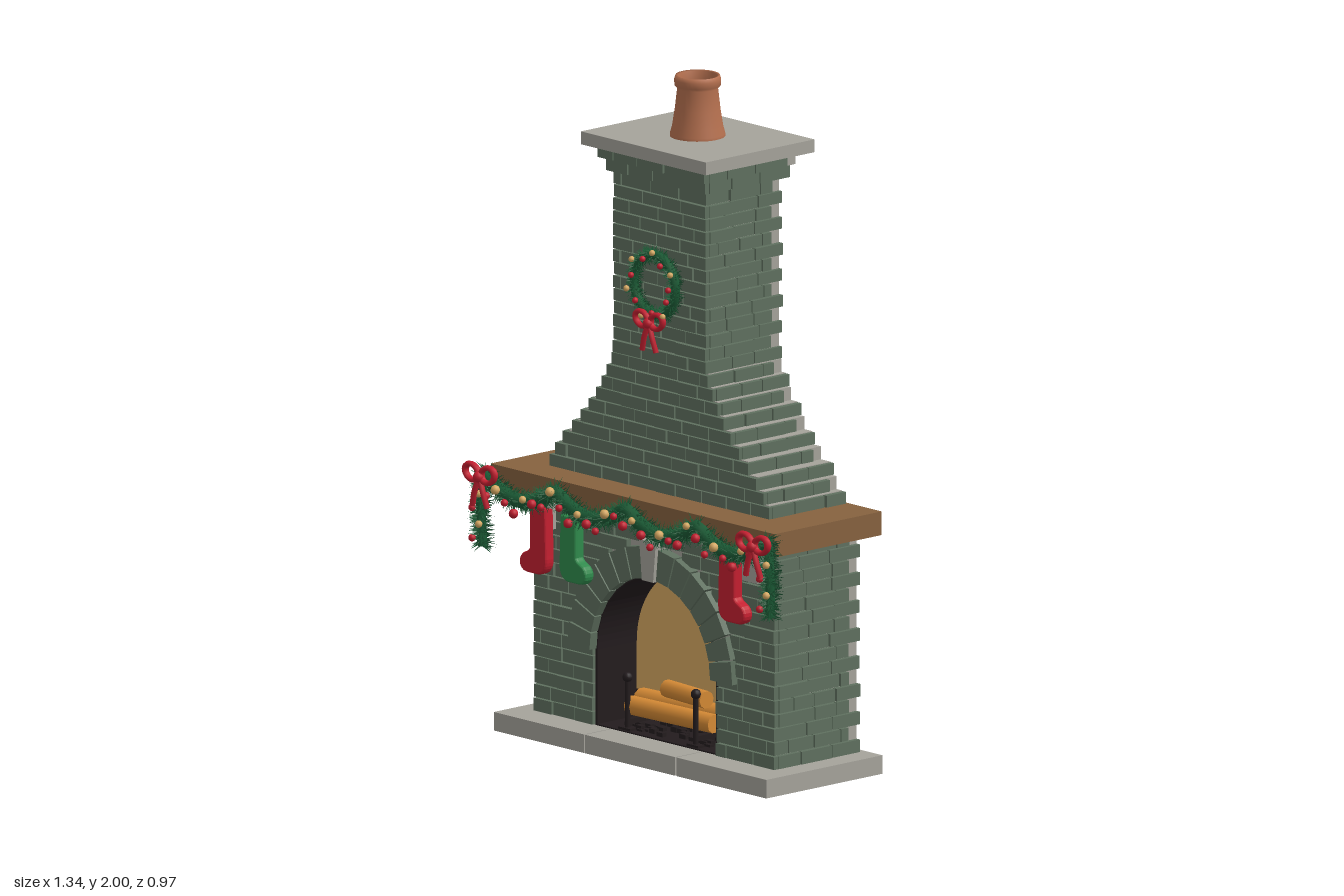
import * as THREE from 'three';
import { mergeGeometries } from 'three/addons/utils/BufferGeometryUtils.js';

const V = (x, y, z) => new THREE.Vector3(x, y, z);
const mat = (name, color, side = THREE.FrontSide) => {
  const m = new THREE.MeshStandardMaterial({ color, side });
  m.name = name;
  return m;
};

export function createModel() {
  let seed = 7;
  const rnd = () => (seed = (seed * 16807) % 2147483647) / 2147483647;

  const M = {
    stone: mat('stone grey', 0xa5a39b), brick: mat('green brick', 0x5f705f),
    wood: mat('mantel wood', 0x86623f), clay: mat('terracotta', 0xb5704f, THREE.DoubleSide),
    gold: mat('warm gold', 0xd6a862), black: mat('soot black', 0x231c1e),
    log: mat('glowing log', 0xd58a35), red: mat('festive red', 0xc41f30),
    pine: mat('pine green', 0x1b5a35), green: mat('stocking green', 0x2f8a4c),
  };
  const root = new THREE.Group();
  const house = new THREE.Group();
  house.name = 'fireplace';
  house.position.set(0.055, 0, -0.0775);
  house.rotation.y = THREE.MathUtils.degToRad(-24);
  root.add(house);

  const add = (name, geo, m, parent = house) => {
    const mesh = new THREE.Mesh(Array.isArray(geo) ? mergeGeometries(geo) : geo, m);
    mesh.name = name;
    parent.add(mesh);
    return mesh;
  };
  // box given by its limits
  const box = (x0, x1, y0, y1, z0, z1) =>
    new THREE.BoxGeometry(x1 - x0, y1 - y0, z1 - z0).translate((x0 + x1) / 2, (y0 + y1) / 2, (z0 + z1) / 2);
  const ball = (r, x, y, z) => new THREE.SphereGeometry(r, 12, 8).translate(x, y, z);
  const extrude = (shape, z0, z1) =>
    new THREE.ExtrudeGeometry(shape, { depth: z1 - z0, bevelEnabled: false, curveSegments: 20 }).translate(0, 0, z0);

  // ---- masonry: thin brick slabs laid over a stone core, course by course
  const T = 0.014, bricks = [], core = [];
  const run = (a, b, odd, place) => {
    const len = 0.1, g = 0.002;
    for (let p = a - (odd ? len / 2 : 0); p < b - 0.001;) {
      let q = p + len * (0.8 + rnd() * 0.45);
      if (b - q < 0.035) q = b;
      const s = Math.max(p, a);
      if (q - s > 0.012) place(s + g, q - g, rnd() * 0.006 - 0.003);
      p = q;
    }
  };
  const course = (i, y0, y1, w, zb, zf, inner = 0) => {
    const odd = i % 2, a = y0 + 0.002, b = y1 - 0.002;
    const front = (s, e, j) => bricks.push(box(s, e, a, b, zf - T - 0.004, zf + j));
    if (inner > 0) {
      run(-w, -inner, odd, front);
      run(inner, w, !odd, front);
    } else run(-w, w, odd, front);
    for (const k of [-1, 1]) run(zb + (odd ? 0.04 : -0.003), zf - T, odd, (s, e, j) => {
      const p = k * (w - T - 0.004), q = k * (w + j);
      bricks.push(box(Math.min(p, q), Math.max(p, q), a, b, s, e));
    });
  };

  // lower body, bricks kept clear of the arch
  const R = 0.26, RO = 0.35, SPRING = 0.28, Y0 = 0.055, Y1 = 0.715, ROWS = 16;
  for (let i = 0, h = (Y1 - Y0) / ROWS; i < ROWS; i++) {
    const y = Y0 + i * h, d = y + h * 0.4 - SPRING;
    const inner = d < 0 ? R : d < RO ? Math.sqrt(RO * RO - d * d) - 0.01 : 0;
    course(i, y, y + h, 0.511, -0.163, 0.17, inner);
  }
  const arch = (r, y0) => new THREE.Shape().moveTo(-r, y0).lineTo(r, y0).lineTo(r, SPRING)
    .absarc(0, SPRING, r, 0, Math.PI, false).lineTo(-r, y0);
  const wall = new THREE.Shape().moveTo(R, Y0).lineTo(0.497, Y0).lineTo(0.497, Y1).lineTo(-0.497, Y1)
    .lineTo(-0.497, Y0).lineTo(-R, Y0).lineTo(-R, SPRING).absarc(0, SPRING, R, Math.PI, 0, true).lineTo(R, Y0);
  add('bodyCore', extrude(wall, 0, 0.156), M.stone);
  add('bodyBack', box(-0.497, 0.497, Y0, Y1, -0.163, 0), M.stone);

  // tapering hood, straight stack and corbelled top
  const taper = [0.465, 0.442, 0.415, 0.375, 0.338, 0.305, 0.275, 0.248, 0.225, 0.208];
  const H = (1.782 - 0.785) / 26;
  for (let i = 0; i < 26; i++) {
    const y = 0.785 + i * H, out = i === 25 ? 0.034 : i === 24 ? 0.015 : 0;
    const w = (taper[i] ?? 0.197) + out, z = 0.15 + out;
    core.push(box(-w + T, w - T, y, y + H, -z, z - T));
    course(i, y, y + H, w, -z, z);
  }
  add('stackCore', core, M.stone);
  add('bricks', bricks, M.brick);
  add('chimneyCap', box(-0.265, 0.265, 1.782, 1.82, -0.213, 0.213), M.stone);

  const pot = [[0.08, 1.82], [0.08, 1.828], [0.074, 1.85], [0.066, 1.9], [0.059, 1.962], [0.067, 1.97],
    [0.068, 1.988], [0.064, 2], [0.057, 1.998], [0.054, 1.96], [0.058, 1.82]];
  add('chimneyPot', new THREE.LatheGeometry(pot.map(p => new THREE.Vector2(...p)), 32), M.clay);

  // hearth slabs, mantel and its corbels
  add('hearth', [-1, 0, 1].map(k => box(k * 0.387 - 0.191, k * 0.387 + 0.191, 0, 0.055, -0.19, 0.265)), M.stone);
  add('mantel', box(-0.602, 0.602, 0.715, 0.785, -0.165, 0.255), M.wood);
  add('corbels', [-0.45, 0.45].map(x => box(x - 0.033, x + 0.033, 0.61, 0.715, 0.15, 0.212)), M.stone);

  // arch stones and keystone
  const wedge = (a, b, r0, r1, z) => extrude(new THREE.Shape([[r0, a], [r1, a], [r1, b], [r0, b]]
    .map(([r, t]) => new THREE.Vector2(r * Math.cos(t), SPRING + r * Math.sin(t)))), 0.14, z);
  const key = 0.095, step = (Math.PI / 2 - key) / 7, stones = [];
  for (let i = 0; i < 7; i++) {
    const a = i * step + 0.008, b = (i + 1) * step - 0.008;
    stones.push(wedge(a, b, R - 0.004, RO, 0.188), wedge(Math.PI - b, Math.PI - a, R - 0.004, RO, 0.188));
  }
  add('archStones', stones, M.brick);
  add('keystone', wedge(Math.PI / 2 - key, Math.PI / 2 + key, R - 0.008, RO + 0.022, 0.197), M.stone);

  // firebox lining, glowing back, grate, logs and andirons
  const lining = arch(R, Y0);
  lining.holes.push(arch(R - 0.008, Y0 + 0.004));
  add('fireboxLining', extrude(lining, 0.001, 0.16), M.black);
  add('fireboxBase', box(-0.25, 0.25, Y0, 0.14, 0, 0.008), M.black);
  add('glowingBack', extrude(arch(R - 0.008, 0.14), 0, 0.006), M.gold);
  const rod = (a, b, r, n = 10) => {
    const d = b.clone().sub(a);
    return new THREE.CylinderGeometry(r, r, d.length(), n)
      .applyQuaternion(new THREE.Quaternion().setFromUnitVectors(V(0, 1, 0), d.normalize()))
      .translate((a.x + b.x) / 2, (a.y + b.y) / 2, (a.z + b.z) / 2);
  };
  add('logs', [
    rod(V(-0.18, 0.13, 0.055), V(0.17, 0.135, 0.045), 0.033),
    rod(V(-0.16, 0.125, 0.115), V(0.18, 0.125, 0.1), 0.028),
    rod(V(-0.05, 0.187, 0.075), V(0.13, 0.185, 0.085), 0.026)], M.log);
  const iron = [];
  for (const x of [-0.145, 0.145]) iron.push(
    rod(V(x, 0.055, 0.141), V(x, 0.21, 0.141), 0.008), ball(0.015, x, 0.214, 0.141),
    box(x - 0.007, x + 0.007, 0.075, 0.09, 0.01, 0.141), box(x - 0.025, x + 0.025, 0.055, 0.066, 0.13, 0.155));
  for (let i = 0; i < 40; i++) {
    const x = rnd() * 0.36 - 0.18, z = 0.02 + rnd() * 0.11;
    iron.push(box(x - 0.012, x + 0.012, 0.055, 0.064 + rnd() * 0.012, z - 0.008, z + 0.008));
  }
  add('andirons', iron, M.black);

  // needles bristling around a curve, over a solid core
  const bristle = (name, curve, n, len, r, closed = false) => {
    const parts = [new THREE.TubeGeometry(curve, 60, r, 7, closed)], up = V(0, 1, 0);
    for (let i = 0; i < n; i++) {
      const t = (i + rnd()) / n, tan = curve.getTangentAt(t), p = curve.getPointAt(t);
      const dir = V(rnd() - 0.5, rnd() - 0.5, rnd() - 0.5).cross(tan).normalize().addScaledVector(tan, rnd() * 1.2 - 0.4).normalize();
      const l = len * (0.7 + rnd() * 0.4);
      parts.push(new THREE.ConeGeometry(0.0034, l, 3, 1, true).translate(0, l / 2, 0)
        .applyQuaternion(new THREE.Quaternion().setFromUnitVectors(up, dir)).translate(p.x, p.y, p.z));
    }
    return add(name, parts, M.pine);
  };
  const swag = x => 0.758 - 0.055 * Math.abs(Math.sin(x / 0.3 * Math.PI));
  const pts = Array.from({ length: 33 }, (_, i) => -0.6 + i * 0.0375).map(x => V(x, swag(x), 0.28));
  bristle('garland', new THREE.CatmullRomCurve3(pts), 2200, 0.046, 0.021);
  for (const k of [-1, 1]) bristle('garlandDrop', new THREE.CatmullRomCurve3(
    [V(k * 0.6, 0.775, 0.28), V(k * 0.613, 0.66, 0.283), V(k * 0.61, 0.545, 0.28)]), 600, 0.04, 0.015);
  const ring = new THREE.EllipseCurve(0, 0, 0.088, 0.088).getPoints(24).slice(0, 24);
  bristle('wreath', new THREE.CatmullRomCurve3(ring.map(p => V(p.x, 1.405 + p.y, 0.168)), true), 1100, 0.032, 0.014, true);

  // baubles on garland, drops and wreath
  const baubles = [[], []];
  for (let i = 0; i < 30; i++) {
    const x = -0.56 + i * 0.0386;
    baubles[i % 3 === 1 ? 1 : 0].push(ball(i % 2 ? 0.014 : 0.011, x, swag(x) + [-0.03, 0.012, -0.008][i % 3], 0.312));
  }
  for (const k of [-1, 1]) for (let i = 0; i < 4; i++)
    baubles[i % 2].push(ball(0.011, k * 0.61 + (i % 2 ? 0.014 : -0.014), 0.57 + i * 0.045, 0.308));
  for (let i = 0; i < 13; i++) {
    const a = i / 13 * Math.PI * 2, r = i % 2 ? 0.1 : 0.08;
    baubles[i % 2].push(ball(0.009, r * Math.cos(a), 1.405 + r * Math.sin(a), 0.19));
  }
  add('redBaubles', baubles[0], M.red);
  add('goldBaubles', baubles[1], M.gold);

  // ribbon bows: two loops, a knot and two tails
  const bow = (x, y, z, s) => {
    const parts = [ball(0.016, 0, 0, 0.005)];
    for (const k of [-1, 1]) parts.push(
      new THREE.TorusGeometry(0.024, 0.0085, 8, 20).scale(1.15, 0.9, 1.2).rotateZ(k * 0.35).translate(k * 0.032, 0.008, 0),
      new THREE.TubeGeometry(new THREE.CatmullRomCurve3(
        [V(0, 0, 0), V(k * 0.016, -0.04, 0.004), V(k * 0.03, -0.085, 0)]), 10, 0.0085, 6));
    add('bow', parts, M.red).position.set(x, y, z);
    house.children.at(-1).scale.setScalar(s);
  };
  bow(-0.58, 0.76, 0.318, 1.05);
  bow(0.58, 0.755, 0.318, 1.05);
  bow(0, 1.295, 0.19, 0.98);

  // stockings hung below the mantel edge
  const sock = new THREE.Shape().moveTo(-0.027, 0.19).lineTo(0.027, 0.19).lineTo(0.027, 0.075)
    .quadraticCurveTo(0.032, 0.062, 0.05, 0.055).bezierCurveTo(0.08, 0.045, 0.075, 0.005, 0.045, 0.006)
    .lineTo(0, 0.006).bezierCurveTo(-0.025, 0.008, -0.034, 0.03, -0.031, 0.06).lineTo(-0.027, 0.19);
  for (const [x, k, m] of [[-0.42, -1, M.red], [-0.29, 1, M.green], [0.383, 1, M.red]]) {
    const g = new THREE.ExtrudeGeometry(sock, { depth: 0.018, bevelThickness: 0.009, bevelSize: 0.006, bevelSegments: 3, curveSegments: 8 });
    // the mirrored one is turned half round so its faces stay outward
    const s = add('stocking', g.translate(0, 0, -0.009).rotateY(k < 0 ? Math.PI : 0), m);
    s.position.set(x, 0.485, 0.225);
  }
  return root;
}
